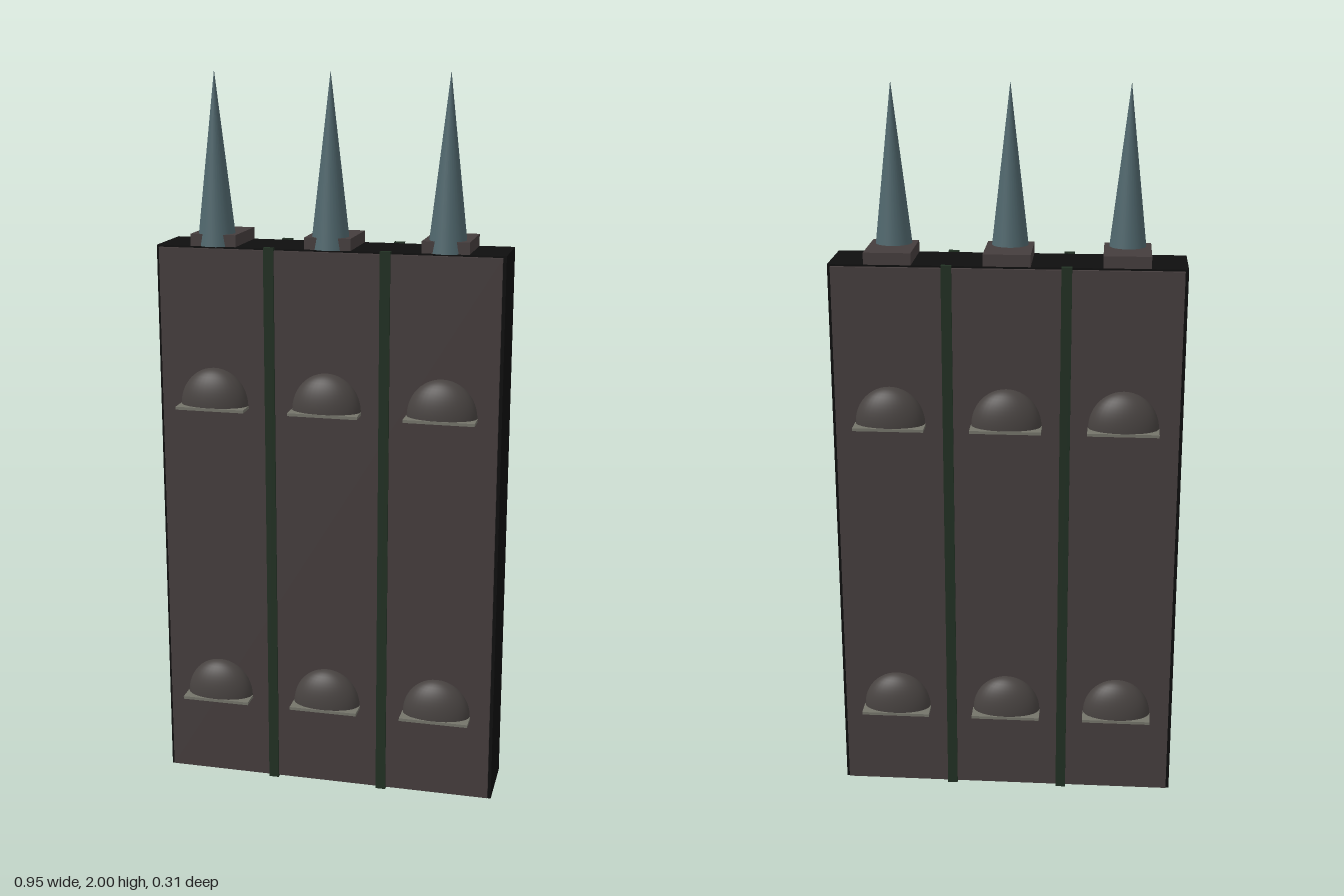
import * as THREE from 'three';

const material = (name, color, side = THREE.FrontSide) => {
  const m = new THREE.MeshStandardMaterial({ color, side });
  m.name = name;
  return m;
};

export function createModel() {
  const black = material('black core', 0x0e0e0e);
  const panelGrey = material('warm grey panel', 0x453d3d);
  const domeGrey = material('dome grey', 0x474240, THREE.DoubleSide);
  const shelfGrey = material('pale grey shelf', 0x74746a);
  const green = material('dark green trim', 0x213023);
  const steel = material('blue grey spike', 0x4f666c);

  const model = new THREE.Group();
  model.name = 'spikedPanel';

  const add = (name, geometry, mat, x, y, z) => {
    const mesh = new THREE.Mesh(geometry, mat);
    mesh.name = name;
    mesh.position.set(x, y, z);
    model.add(mesh);
    return mesh;
  };
  const box = (name, mat, w, h, d, x, y, z) =>
    add(name, new THREE.BoxGeometry(w, h, d), mat, x, y, z);

  const height = 1.54;
  const columns = [-0.315, 0, 0.315];

  // Slab with a slightly inset face on the front and back
  box('core', black, 0.948, height, 0.18, 0, height / 2, 0);
  for (const s of [1, -1]) {
    const side = s > 0 ? 'front' : 'back';
    box(side + 'Panel', panelGrey, 0.93, height - 0.01, 0.01, 0, height / 2, s * 0.095);

    // Vertical trim between the columns
    for (const x of [-0.158, 0.158]) {
      box(side + 'Trim', green, 0.028, height + 0.003, 0.016, x, (height + 0.003) / 2, s * 0.097);
    }

    // Half domes, each on a thin shelf
    for (const x of columns) {
      for (const y of [0.25, 1.108]) {
        const dome = add(side + 'Dome', new THREE.SphereGeometry(1, 32, 12, 0, Math.PI * 2, 0, Math.PI / 2),
          domeGrey, x, y, s * 0.1);
        dome.scale.set(0.095, 0.102, 0.053);
        box(side + 'Shelf', shelfGrey, 0.192, 0.008, 0.057, x, y - 0.004, s * 0.1265);
      }
    }
  }

  // Spikes and their mounting blocks along the top edge
  for (const x of columns) {
    box('spikeMount', panelGrey, 0.126, 0.032, 0.18, x, height + 0.016, 0);
    add('spike', new THREE.ConeGeometry(0.053, 2 - height, 32), steel, x, (2 + height) / 2, 0.05);
  }

  return model;
}
